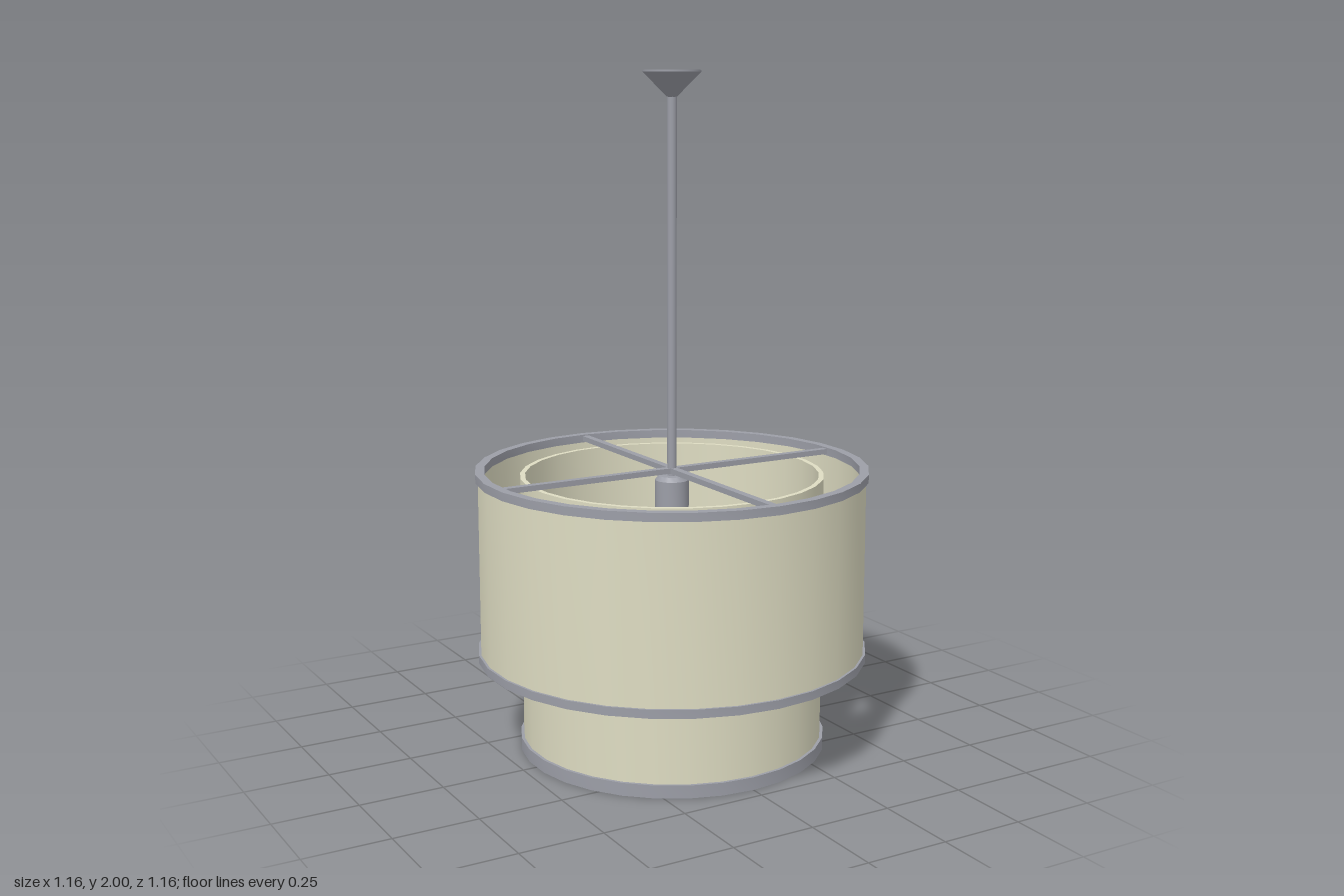
import * as THREE from 'three';
import { toCreasedNormals } from 'three/addons/utils/BufferGeometryUtils.js';

const SIDES = 30;

export function createModel() {
  const model = new THREE.Group();
  model.name = 'pendantLamp';

  const metal = new THREE.MeshStandardMaterial({ color: 0x9c9ea7 });
  metal.name = 'brushed grey metal';
  const cream = new THREE.MeshStandardMaterial({ color: 0xdedcc2 });
  cream.name = 'cream fabric';

  const add = (name, geometry, material, y = 0) => {
    const mesh = new THREE.Mesh(geometry, material);
    mesh.name = name;
    mesh.position.y = y;
    model.add(mesh);
    return mesh;
  };

  // Revolved profile with sharp rims and smooth walls
  const lathe = (points, sides = SIDES) =>
    toCreasedNormals(new THREE.LatheGeometry(points.map(([r, y]) => new THREE.Vector2(r, y)), sides), 0.6);

  // Open tube with wall thickness
  const hoop = (outer, inner, y0, y1) =>
    lathe([[inner, y0], [outer, y0], [outer, y1], [inner, y1], [inner, y0]]);

  // Outer shade with its two trim hoops
  add('outerShade', hoop(0.575, 0.563, 0.285, 0.845), cream);
  add('outerTopTrim', hoop(0.582, 0.555, 0.825, 0.85), metal);
  add('outerBottomTrim', hoop(0.582, 0.555, 0.28, 0.305), metal);

  // Inner shade with a trim hoop at the bottom
  add('innerShade', hoop(0.45, 0.435, 0.005, 0.83), cream);
  add('innerBottomTrim', hoop(0.459, 0.433, 0, 0.038), metal);

  // Crossed support bars
  add('crossBarX', new THREE.BoxGeometry(1.12, 0.016, 0.022), metal, 0.838);
  add('crossBarZ', new THREE.BoxGeometry(0.022, 0.016, 1.12), metal, 0.838);

  // Hanging rod and ceiling canopy
  add('rod', new THREE.CylinderGeometry(0.014, 0.014, 1.13, 16), metal, 1.375);
  add('canopy', lathe([[0, 1.925], [0.014, 1.925], [0.084, 1.995], [0.084, 2], [0, 2]], 24), metal);

  // Lamp holder and bulb
  add('socket', lathe([[0, 0.69], [0.05, 0.69], [0.05, 0.81], [0.04, 0.823], [0, 0.823]], 24), metal);
  add('bulb', lathe([
    [0, 0.425], [0.04, 0.433], [0.075, 0.456], [0.098, 0.49], [0.106, 0.53],
    [0.098, 0.57], [0.08, 0.615], [0.06, 0.655], [0.046, 0.695], [0, 0.695],
  ], 24), cream);

  return model;
}
